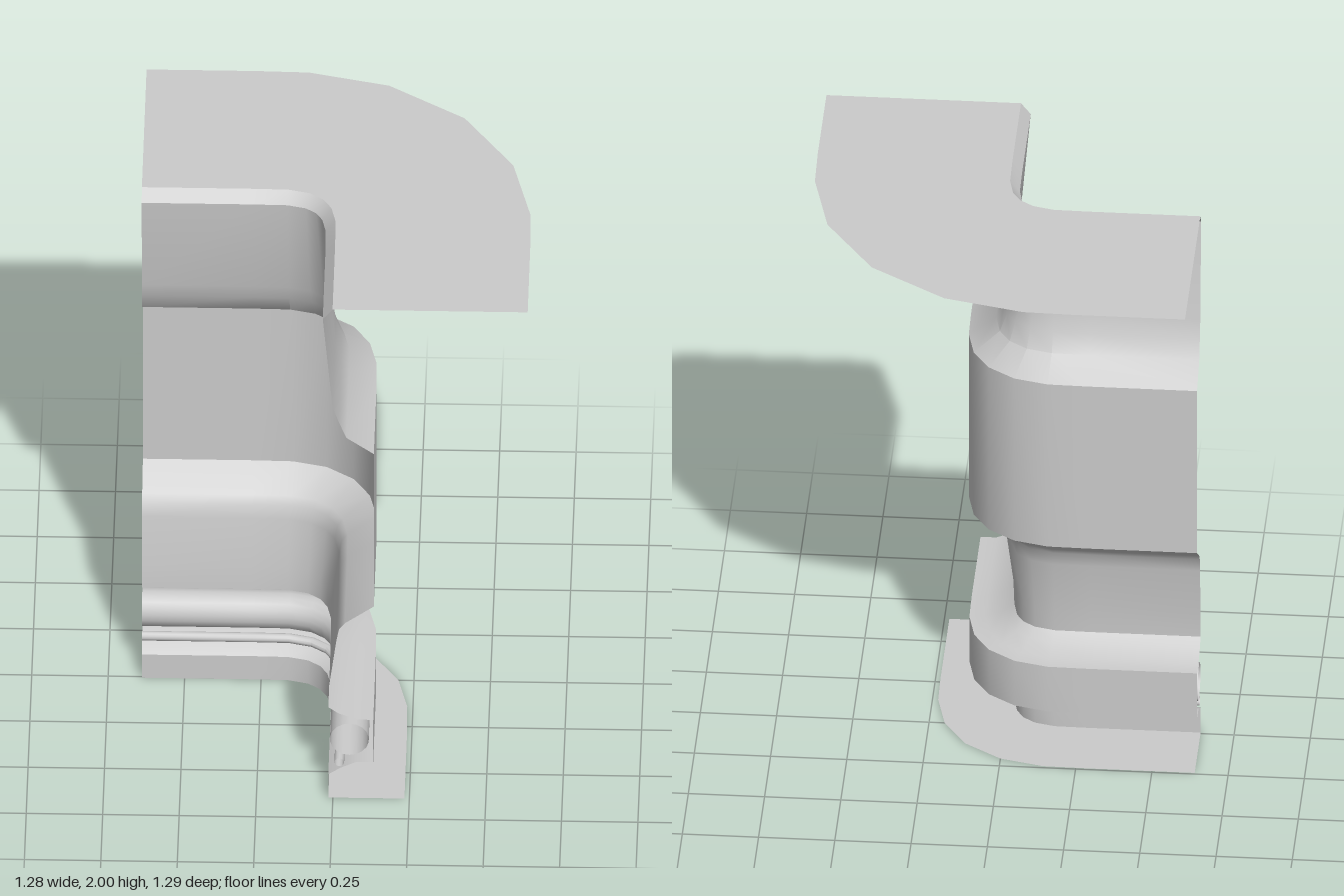
import * as THREE from 'three';
import { toCreasedNormals } from 'three/addons/utils/BufferGeometryUtils.js';

// Corner path: x, z and the angle (degrees) of the outward normal, turning from -z to +x
const PATH = [
  [-0.64, -0.008, 0], [-0.28, -0.008, 0], [-0.16, -0.006, 4.6], [-0.09, 0.012, 22.6],
  [-0.045, 0.045, 45],
  [-0.018, 0.09, 67.4], [-0.003, 0.16, 85.4], [-0.001, 0.28, 90], [-0.001, 0.64, 90],
];

const material = new THREE.MeshStandardMaterial({ color: 0xcccccc, side: THREE.DoubleSide });

// Sweeps a profile of [outward offset, height] points, listed top to bottom, along the corner path
function sweep(name, profile, crease = 0.6) {
  const positions = [];
  const index = [];
  const n = profile.length;
  PATH.forEach(([x, z, degrees], i) => {
    const a = THREE.MathUtils.degToRad(degrees);
    profile.forEach(([d, y], j) => {
      positions.push(x + Math.sin(a) * d, y, z - Math.cos(a) * d);
      if (i > 0 && j > 0) {
        const c = i * n + j;
        const b = c - n;
        index.push(b - 1, c - 1, b, c - 1, c, b);
      }
    });
  });
  const geometry = new THREE.BufferGeometry();
  geometry.setAttribute('position', new THREE.Float32BufferAttribute(positions, 3));
  geometry.setIndex(index);
  const mesh = new THREE.Mesh(toCreasedNormals(geometry, crease), material);
  mesh.name = name;
  return mesh;
}

// Closed circular profile for the hollow rails
function circle(d, y, radius, sides) {
  return Array.from({ length: sides + 1 }, (_, i) => {
    const a = Math.PI / 2 - (i / sides) * Math.PI * 2;
    return [d + Math.cos(a) * radius, y + Math.sin(a) * radius];
  });
}

export function createModel() {
  const group = new THREE.Group();
  group.name = 'cornerWall';

  // Flat plates at the top and bottom
  group.add(sweep('topPlate', [[0.638, 2], [0, 2]]));
  group.add(sweep('bottomPlate', [[-0.014, 0], [0.235, 0]]));

  // Upper wall with a bevelled lip and a flared foot
  group.add(sweep('upperWall', [
    [0, 2], [-0.032, 1.96], [0, 1.6], [0.02, 1.54], [0.045, 1.475], [0.135, 1.41],
  ]));

  // Bulging middle band
  group.add(sweep('middleBand', [[0.135, 1.41], [0.135, 0.785]]));

  // Lower wall narrowing to a neck
  group.add(sweep('lowerWall', [
    [0.135, 0.785], [0.04, 0.715], [0.021, 0.69], [0.012, 0.64], [-0.011, 0.46], [-0.014, 0.37],
  ]));

  // Projecting moulding and the skirting beneath it
  group.add(sweep('moulding', [
    [-0.014, 0.37], [0.02, 0.345], [0.08, 0.322], [0.133, 0.32],
    [0.133, 0.148], [0.075, 0.146], [0.025, 0.122], [-0.014, 0.095],
  ]));
  group.add(sweep('skirting', [[-0.014, 0.095], [-0.014, 0]]));

  // Hollow rails inside the moulding
  group.add(sweep('largeRail', circle(0.055, 0.24, 0.064, 18)));
  group.add(sweep('smallRail', circle(0.022, 0.145, 0.016, 12)));

  return group;
}
